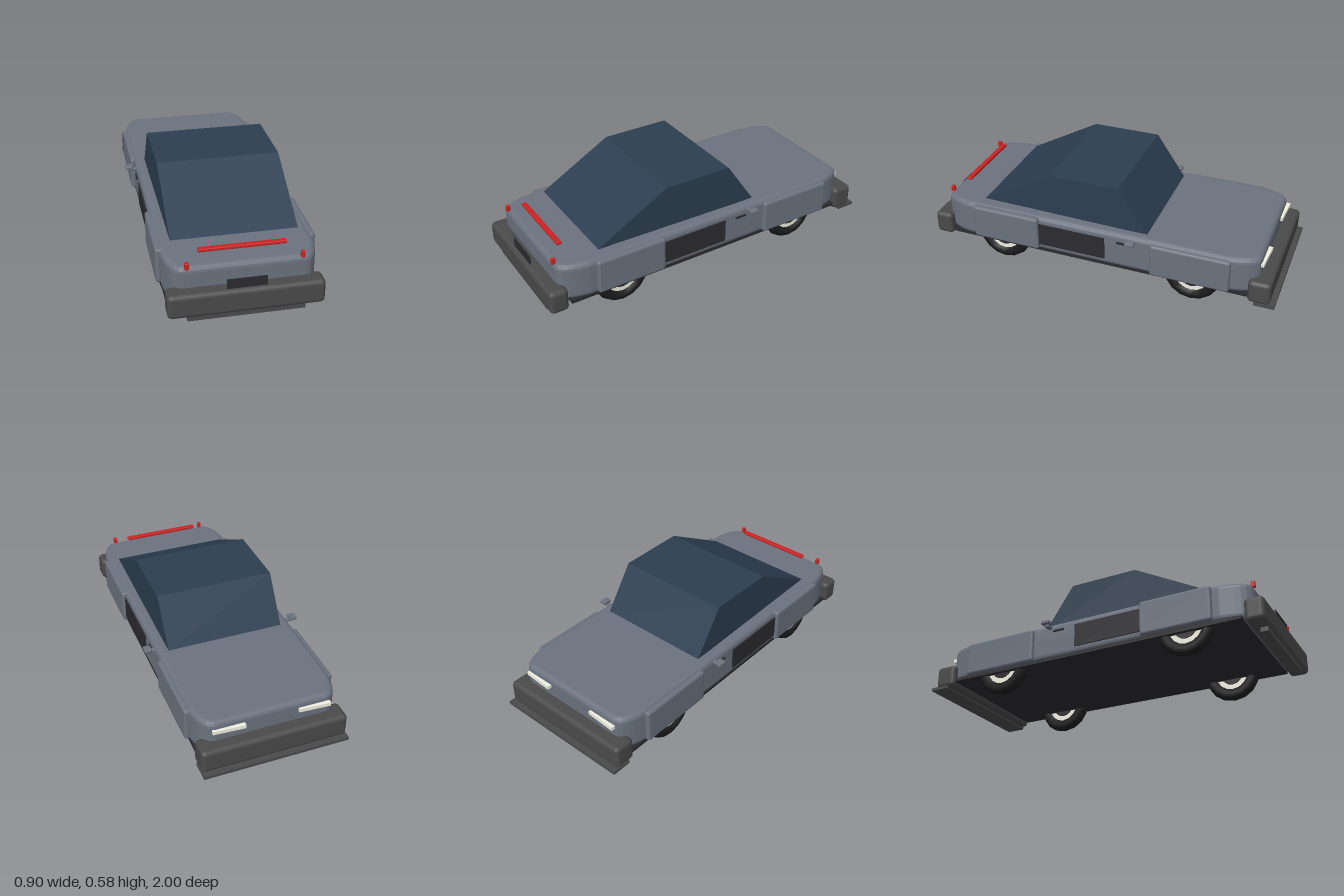
import * as THREE from 'three';
import { RoundedBoxGeometry } from 'three/addons/geometries/RoundedBoxGeometry.js';

const mat = (color, flatShading = false) => new THREE.MeshStandardMaterial({ color, flatShading });
const paint = mat(0x6b727e), glass = mat(0x2c3e50, true), trim = mat(0x4a4a4a);
const dark = mat(0x2b2b30), rubber = mat(0x1c1c1c), red = mat(0xcc2222), white = mat(0xeeeee0);

export function createModel() {
  const car = new THREE.Group();
  car.name = 'car';

  const add = (name, geometry, material, x = 0, y = 0, z = 0) => {
    const mesh = new THREE.Mesh(geometry, material);
    mesh.name = name;
    mesh.position.set(x, y, z);
    car.add(mesh);
    return mesh;
  };
  // Box given by its extents; r > 0 rounds the edges
  const block = (name, material, [x0, x1], [y0, y1], [z0, z1], r = 0) => {
    const size = [x1 - x0, y1 - y0, z1 - z0];
    const geometry = r ? new RoundedBoxGeometry(...size, 3, r) : new THREE.BoxGeometry(...size);
    return add(name, geometry, material, (x0 + x1) / 2, (y0 + y1) / 2, (z0 + z1) / 2);
  };
  // The same box on both sides of the car
  const pair = (name, material, [x0, x1], y, z, r) => {
    block('left' + name, material, [x0, x1], y, z, r);
    block('right' + name, material, [-x1, -x0], y, z, r);
  };

  // Body: plan outline with softened corners, extruded upwards with a bevel
  const bevel = 0.03, w = 0.39 - bevel, l = 0.915 - bevel;
  const plan = new THREE.Shape();
  plan.moveTo(-w, -l + 0.13);
  plan.quadraticCurveTo(-w + 0.02, -l, -w + 0.06, -l);
  plan.lineTo(w - 0.06, -l);
  plan.quadraticCurveTo(w - 0.02, -l, w, -l + 0.13);
  plan.lineTo(w, l - 0.13);
  plan.quadraticCurveTo(w - 0.02, l, w - 0.06, l);
  plan.lineTo(-w + 0.06, l);
  plan.quadraticCurveTo(-w + 0.02, l, -w, l - 0.13);
  plan.closePath();
  const bodyGeometry = new THREE.ExtrudeGeometry(plan, {
    depth: 0.15, bevelThickness: bevel, bevelSize: bevel, bevelSegments: 4, curveSegments: 6,
  });
  bodyGeometry.rotateX(-Math.PI / 2);
  add('body', bodyGeometry, paint, 0, 0.16, 0.015);
  block('floor', dark, [-0.385, 0.385], [0.122, 0.14], [-0.85, 0.88]);

  // Cabin: side profile extruded across the car
  const side = new THREE.Shape([
    [0.69, 0.355], [0.28, 0.585], [-0.11, 0.585], [-0.28, 0.338],
  ].map(([z, y]) => new THREE.Vector2(-z, y)));
  const cabinGeometry = new THREE.ExtrudeGeometry(side, { depth: 0.66, bevelEnabled: false });
  cabinGeometry.translate(0, 0, -0.33).rotateY(Math.PI / 2);
  add('cabin', cabinGeometry, glass);

  // Wheel arch panels, side intakes, door handles and mirrors
  pair('RearFender', paint, [0.36, 0.412], [0.14, 0.335], [0.335, 0.735], 0.015);
  pair('FrontFender', paint, [0.36, 0.41], [0.135, 0.325], [-0.755, -0.315], 0.015);
  pair('Intake', dark, [0.37, 0.397], [0.17, 0.3], [-0.055, 0.335]);
  pair('DoorHandle', dark, [0.38, 0.398], [0.285, 0.295], [-0.19, -0.125]);
  pair('MirrorStalk', paint, [0.38, 0.43], [0.305, 0.322], [-0.225, -0.2], 0.005);
  pair('Mirror', paint, [0.41, 0.45], [0.319, 0.338], [-0.24, -0.19], 0.005);

  // Bumpers, splitter, diffuser and plate
  block('rearBumper', trim, [-0.393, 0.393], [0.096, 0.228], [0.895, 1], 0.025);
  block('frontBumper', trim, [-0.397, 0.397], [0.096, 0.228], [-0.973, -0.85], 0.025);
  block('splitter', trim, [-0.397, 0.397], [0.086, 0.103], [-1, -0.89]);
  block('diffuser', trim, [-0.295, 0.295], [0.072, 0.1], [0.945, 0.985]);
  block('plate', dark, [-0.1, 0.1], [0.2, 0.28], [0.97, 0.976]);

  // Lights
  block('lightBar', red, [-0.222, 0.222], [0.38, 0.397], [0.84, 0.868], 0.005);
  pair('TailLight', red, [0.277, 0.297], [0.33, 0.366], [0.912, 0.935], 0.005);
  for (const s of [-1, 1]) {
    const lamp = block(s > 0 ? 'leftHeadlight' : 'rightHeadlight', white,
      [s * 0.232 - 0.086, s * 0.232 + 0.086], [0.28, 0.3], [-0.918, -0.895]);
    lamp.rotation.y = -0.06;
  }

  // Wheels: chunky tyre, pale rim and dark hub
  const tyre = new THREE.TorusGeometry(0.121, 0.036, 8, 16).rotateY(Math.PI / 2);
  const rim = new THREE.CylinderGeometry(0.095, 0.095, 0.04, 20).rotateZ(Math.PI / 2);
  const hub = new THREE.CylinderGeometry(0.065, 0.065, 0.05, 16).rotateZ(Math.PI / 2);
  for (const x of [-0.338, 0.338]) {
    for (const z of [-0.54, 0.575]) {
      const place = `${z > 0 ? 'rear' : 'front'}${x > 0 ? 'Left' : 'Right'}`;
      add(place + 'Tyre', tyre, rubber, x, 0.157, z);
      add(place + 'Rim', rim, white, x, 0.157, z);
      add(place + 'Hub', hub, dark, x, 0.157, z);
    }
  }
  return car;
}
